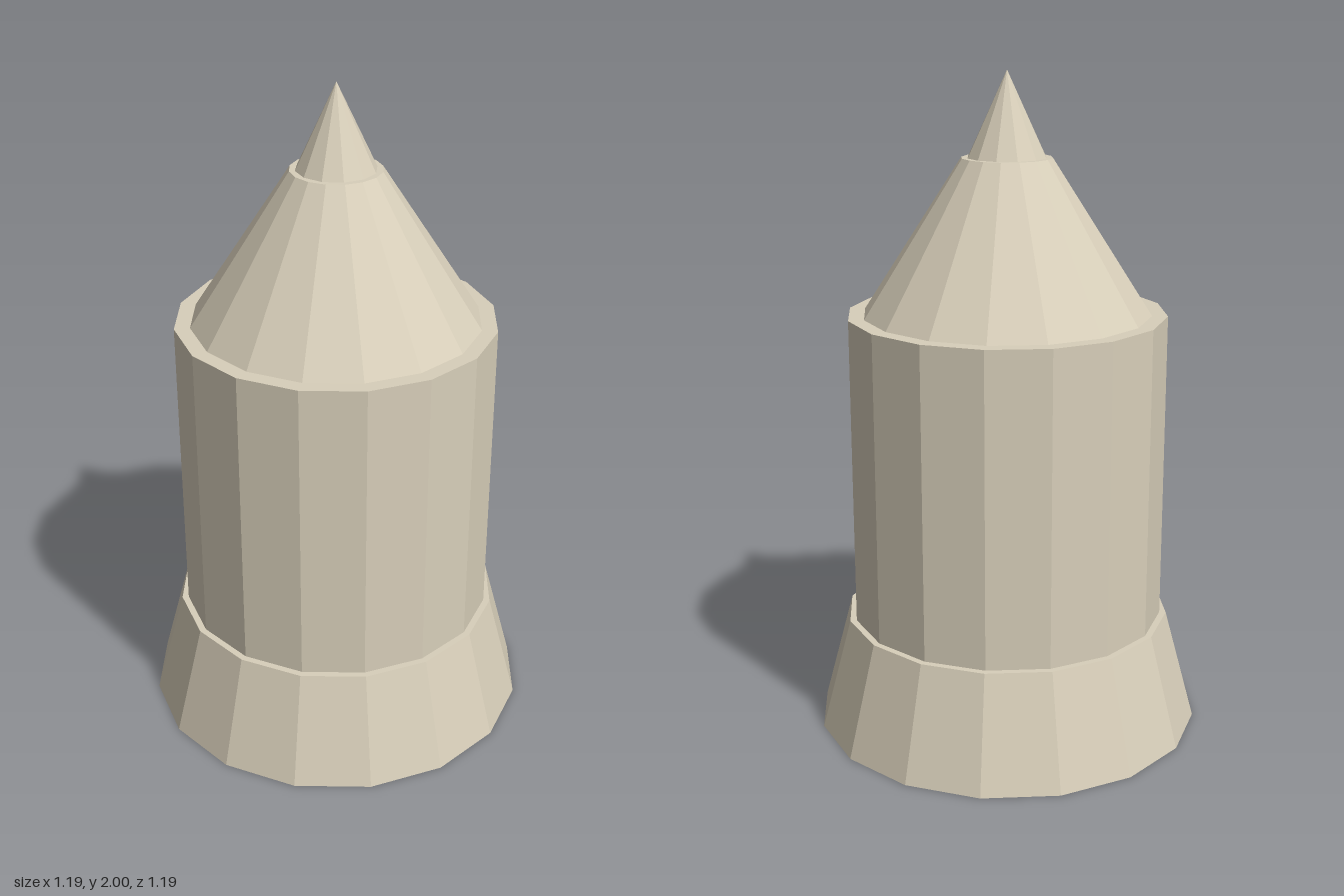
import * as THREE from 'three';

export function createModel() {
  const model = new THREE.Group();
  const material = new THREE.MeshStandardMaterial({ color: 0xd8cfba, flatShading: true });

  // One faceted tier standing between two heights
  function tier(name, bottomRadius, topRadius, y0, y1, sides) {
    const geometry = new THREE.CylinderGeometry(topRadius, bottomRadius, y1 - y0, sides);
    const mesh = new THREE.Mesh(geometry, material);
    mesh.name = name;
    mesh.position.y = (y0 + y1) / 2;
    model.add(mesh);
  }

  tier('flaredBase', 0.593, 0.5, 0, 0.345, 16);
  tier('body', 0.48, 0.48, 0.345, 1.29, 16);
  tier('shoulderCone', 0.433, 0.135, 1.29, 1.75, 16);
  tier('tip', 0.118, 0, 1.75, 2, 12);

  return model;
}
